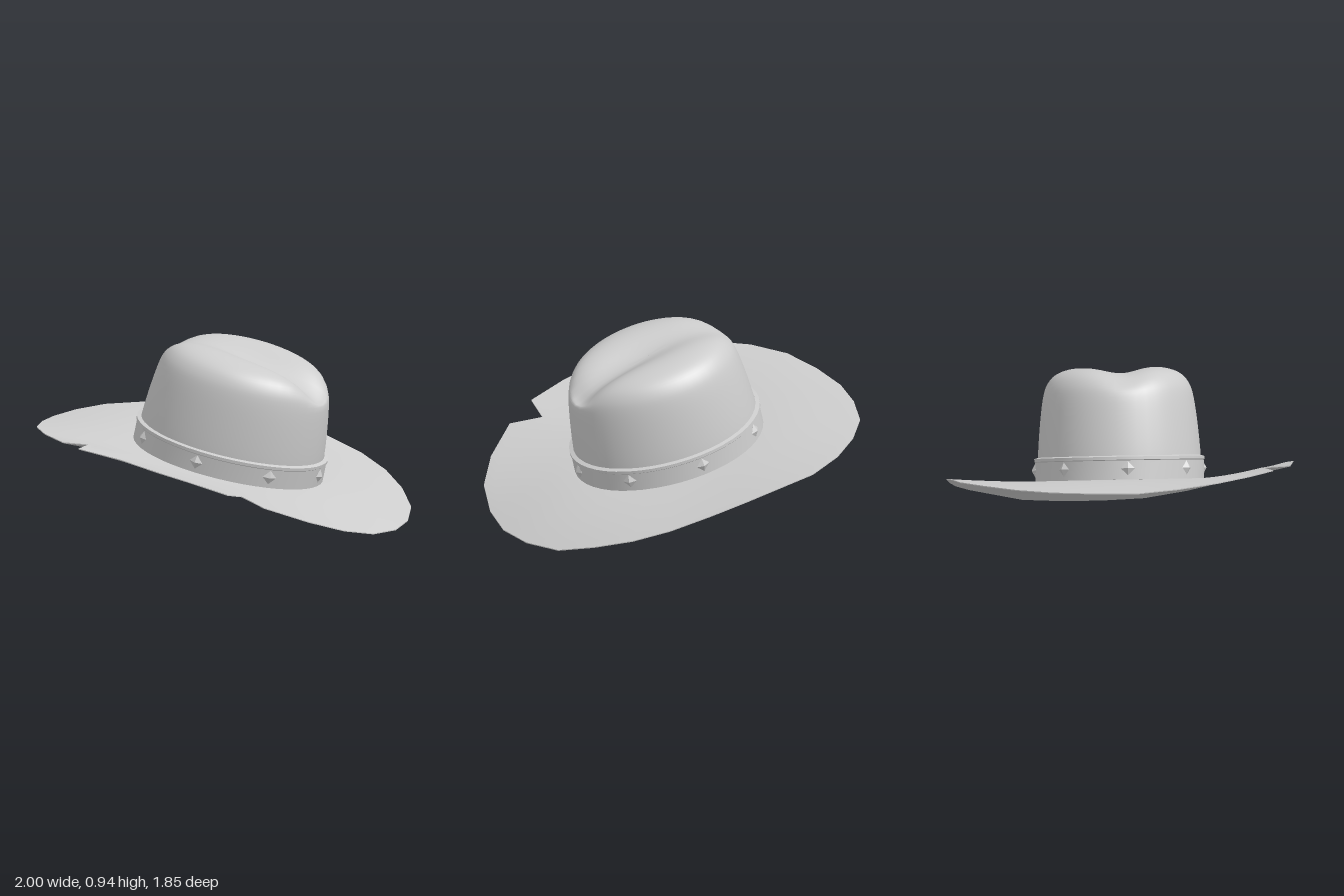
import * as THREE from 'three';
import { toCreasedNormals } from 'three/addons/utils/BufferGeometryUtils.js';

const felt = new THREE.MeshStandardMaterial({ color: 0xcccccc, side: THREE.DoubleSide });
felt.name = 'grey felt';

const TILT = 0.217; // the hat leans down towards +x
const SEGMENTS = 48;

// Joins closed rings of points into one surface
function loft(rings, crease, closed = false) {
  const n = rings[0].length;
  const index = [];
  const last = closed ? rings.length : rings.length - 1;
  for (let i = 0; i < last; i++) {
    const k = (i + 1) % rings.length;
    for (let j = 0; j < n; j++) {
      const m = (j + 1) % n;
      const a = i * n + j, b = i * n + m, c = k * n + j, d = k * n + m;
      index.push(a, c, b, b, c, d);
    }
  }
  const geometry = new THREE.BufferGeometry();
  geometry.setAttribute('position', new THREE.Float32BufferAttribute(rings.flat(2), 3));
  geometry.setIndex(index);
  return toCreasedNormals(geometry, crease);
}

// Egg-shaped outline of the crown, narrower towards +x
function egg(angle, scale) {
  const c = Math.cos(angle);
  return [-0.02 + 0.51 * scale * c, 0.433 * scale * Math.sin(angle) * (1 - 0.05 * c)];
}

function eggRing(scale, y, shape = (x, h) => h) {
  return Array.from({ length: SEGMENTS }, (_, j) => {
    const [x, z] = egg((j / SEGMENTS) * Math.PI * 2, scale);
    return [x, shape(x, y, z), z];
  });
}

function addMesh(parent, name, geometry) {
  const mesh = new THREE.Mesh(geometry, felt);
  mesh.name = name;
  parent.add(mesh);
  return mesh;
}

// Brim rim: x, y, z, running from +x through the two front notches
const RIM = [
  [1, 0.005, 0], [0.97, 0.02, 0.22], [0.9, 0.07, 0.44], [0.77, 0.14, 0.62], [0.58, 0.23, 0.78],
  [0.42, 0.265, 0.71], [0.41, 0.3, 0.865], [0.2, 0.36, 0.905], [0.03, 0.4, 0.92],
  [-0.2, 0.45, 0.91], [-0.46, 0.48, 0.87], [-0.47, 0.475, 0.72], [-0.6, 0.485, 0.765],
  [-0.77, 0.49, 0.62], [-0.9, 0.485, 0.44], [-0.97, 0.47, 0.22], [-1, 0.457, 0],
  [-0.97, 0.455, -0.22], [-0.9, 0.45, -0.44], [-0.77, 0.44, -0.62], [-0.6, 0.43, -0.78],
  [-0.4, 0.41, -0.89], [-0.2, 0.385, -0.92], [0, 0.345, -0.925], [0.2, 0.285, -0.89],
  [0.42, 0.22, -0.84], [0.6, 0.16, -0.75], [0.76, 0.1, -0.61], [0.89, 0.04, -0.44],
  [0.97, 0.012, -0.22],
];

function brimRing(t, drop) {
  const plane = (x) => 0.32 - 0.22 * x;
  return RIM.map(([ex, ey, ez]) => {
    const [lx, iz] = egg(Math.atan2(ez / 0.433, (ex - 0.02) / 0.51), 0.985);
    const ix = 0.04 + lx * Math.cos(TILT);
    const x = ix + (ex - ix) * t;
    const y = plane(x) + (ey - plane(ex)) * Math.pow(t, 1.7);
    return [x, y - drop, iz + (ez - iz) * t];
  });
}

export function createModel() {
  const hat = new THREE.Group();
  hat.name = 'hat';

  // Thin curved brim, underside first, then back over the top
  const steps = [0, 0.15, 0.3, 0.45, 0.6, 0.75, 0.9, 1];
  const under = steps.map((t) => brimRing(t, 0.018 - 0.013 * t));
  const over = [...steps].reverse().map((t) => brimRing(t, 0));
  addMesh(hat, 'brim', loft([...under, ...over], 0.8, true));

  const upper = new THREE.Group();
  upper.name = 'crownAndBand';
  upper.position.set(0.04, 0.3, 0);
  upper.rotation.z = -TILT;
  hat.add(upper);

  // Crown with a lengthwise crease that deepens towards +x
  const profile = new THREE.SplineCurve([
    [1, 0], [1, 0.13], [0.97, 0.3], [0.925, 0.45], [0.87, 0.525], [0.77, 0.575],
    [0.6, 0.605], [0.35, 0.618], [0.001, 0.618],
  ].map(([s, y]) => new THREE.Vector2(s, y))).getPoints(32);
  const creased = (x, y, z) => {
    const top = THREE.MathUtils.smoothstep(y, 0.43, 0.58);
    const depth = 0.035 + 0.07 * THREE.MathUtils.smoothstep(x, -0.3, 0.4);
    return y - top * depth * Math.exp(-((z / 0.12) ** 2));
  };
  addMesh(upper, 'crown', loft(profile.map((p) => eggRing(p.x, p.y, creased)), 1.0));

  // Hat band with a narrow raised upper edge
  const bandProfile = [[1.0, 0.0], [1.035, 0.01], [1.035, 0.112], [1.045, 0.116],
    [1.045, 0.132], [1.0, 0.138]];
  addMesh(upper, 'band', loft(bandProfile.map(([s, y]) => eggRing(s, y)), 0.5));

  // Faceted diamond studs around the band
  const studShape = new THREE.OctahedronGeometry(0.038).scale(0.5, 1, 1);
  for (let i = 0; i < 8; i++) {
    const angle = (i * Math.PI) / 4;
    const [x, z] = egg(angle, 1.035);
    const stud = addMesh(upper, 'stud', studShape);
    stud.position.set(x, 0.07, z);
    stud.rotation.y = -Math.atan2(Math.sin(angle) / 0.433, Math.cos(angle) / 0.51);
  }
  return hat;
}
